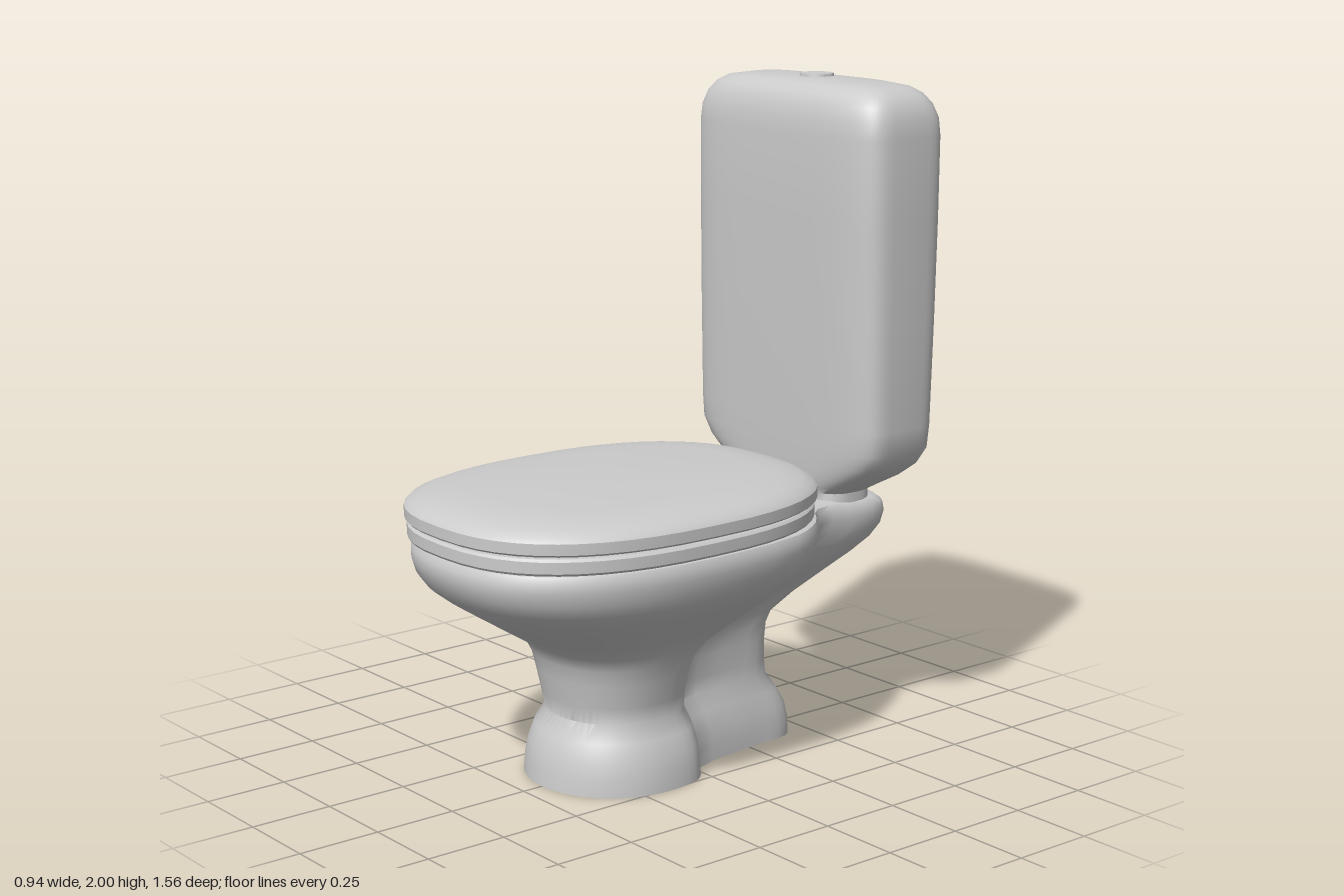
import * as THREE from 'three';
import { toCreasedNormals } from 'three/addons/utils/BufferGeometryUtils.js';

const lerp = THREE.MathUtils.lerp;
const spow = (v, n) => Math.sign(v) * Math.abs(v) ** (2 / n);

// Skin a stack of closed rings (bottom to top) and cap both ends
function loft(rings, crease = 0.75) {
  const n = rings[0].length;
  const pos = [], index = [];
  rings.forEach((r) => r.forEach((p) => pos.push(p.x, p.y, p.z)));
  for (let j = 0; j < rings.length - 1; j++) {
    for (let i = 0; i < n; i++) {
      const a = j * n + i, b = j * n + (i + 1) % n;
      index.push(a, b, b + n, a, b + n, a + n);
    }
  }
  [0, rings.length - 1].forEach((j) => {
    const c = new THREE.Vector3();
    rings[j].forEach((p) => c.addScaledVector(p, 1 / n));
    const ci = pos.length / 3;
    pos.push(c.x, c.y, c.z);
    for (let i = 0; i < n; i++) {
      const a = j * n + i, b = j * n + (i + 1) % n;
      if (j === 0) index.push(ci, b, a); else index.push(ci, a, b);
    }
  });
  const g = new THREE.BufferGeometry();
  g.setAttribute('position', new THREE.Float32BufferAttribute(pos, 3));
  g.setIndex(index);
  return toCreasedNormals(g, crease);
}

// Horizontal superellipse ring between zFront and zBack
function ovalRing(y, w, zFront, zBack, n, count = 48) {
  const zc = (zFront + zBack) / 2, d = (zFront - zBack) / 2;
  return Array.from({ length: count }, (_, i) => {
    const t = (i / count) * Math.PI * 2;
    return new THREE.Vector3(w * spow(Math.sin(t), n), y, zc + d * spow(Math.cos(t), n));
  });
}

// Keyhole ring: round front lobe, pinched neck, narrower rear lobe
function keyholeRing([y, w, zf, zc, wn, zn, wr, zr], n) {
  const half = [];
  for (let i = 0; i <= 5; i++) {
    const t = (i / 5) * Math.PI / 2;
    half.push([w * spow(Math.sin(t), n), zc + (zf - zc) * spow(Math.cos(t), n)]);
  }
  half.push(
    [lerp(wn, w, 0.85), lerp(zn, zc, 0.42)],
    [lerp(wn, w, 0.5), lerp(zn, zc, 0.18)],
    [wn, zn],
    [wr, lerp(zr, zn, 0.4)],
    [wr * 0.92, lerp(zr, zn, 0.1)],
    [wr * 0.55, zr],
    [0, zr],
  );
  const mirrored = half.slice(1, -1).reverse().map(([x, z]) => [-x, z]);
  const pts = [...half, ...mirrored].map(([x, z]) => new THREE.Vector3(x, y, z));
  const curve = new THREE.CatmullRomCurve3(pts, true, 'centripetal');
  const count = pts.length * 3;
  return Array.from({ length: count }, (_, i) => curve.getPoint(i / count));
}

export function createModel() {
  const model = new THREE.Group();
  model.name = 'toilet';
  const material = new THREE.MeshStandardMaterial({ color: 0xcccccc });
  const add = (name, geometry) => {
    const mesh = new THREE.Mesh(geometry, material);
    mesh.name = name;
    model.add(mesh);
    return mesh;
  };

  // Pedestal, bowl and rear shelf in one skin:
  // y, front half width, front z, widest z, neck half width, neck z, rear half width, rear z
  const bowlRows = [
    [0.00, 0.262, 0.435, 0.17, 0.170, -0.02, 0.125, -0.45],
    [0.05, 0.258, 0.430, 0.17, 0.165, -0.02, 0.125, -0.447],
    [0.10, 0.247, 0.420, 0.17, 0.155, -0.02, 0.120, -0.435],
    [0.15, 0.228, 0.400, 0.17, 0.140, -0.01, 0.110, -0.408],
    [0.20, 0.200, 0.368, 0.17, 0.110, 0.00, 0.100, -0.370],
    [0.25, 0.208, 0.377, 0.17, 0.115, 0.00, 0.100, -0.364],
    [0.32, 0.222, 0.391, 0.17, 0.120, -0.01, 0.105, -0.361],
    [0.37, 0.233, 0.402, 0.17, 0.130, -0.03, 0.110, -0.362],
    [0.41, 0.250, 0.422, 0.17, 0.150, -0.07, 0.120, -0.375],
    [0.46, 0.295, 0.500, 0.17, 0.180, -0.15, 0.140, -0.445],
    [0.52, 0.355, 0.595, 0.17, 0.210, -0.25, 0.175, -0.545],
    [0.57, 0.405, 0.672, 0.17, 0.225, -0.33, 0.205, -0.630],
    [0.61, 0.436, 0.724, 0.17, 0.235, -0.38, 0.225, -0.688],
    [0.65, 0.452, 0.755, 0.17, 0.242, -0.41, 0.240, -0.718],
    [0.69, 0.459, 0.768, 0.17, 0.245, -0.42, 0.247, -0.727],
    [0.72, 0.459, 0.768, 0.17, 0.243, -0.42, 0.243, -0.722],
    [0.738, 0.450, 0.758, 0.17, 0.233, -0.42, 0.228, -0.700],
    [0.744, 0.430, 0.735, 0.17, 0.215, -0.41, 0.205, -0.670],
  ];
  add('bowlAndPedestal', loft(bowlRows.map((row, i) =>
    keyholeRing(row, lerp(2.05, 2.4, Math.min(1, i / 12))))));

  // Seat and lid: rows of height and inset from the full oval
  const ovalStack = (rows) => loft(rows.map(([y, inset]) =>
    ovalRing(y, 0.47 - inset, 0.78 - inset, -0.445 + inset, 2.5)), 0.6);
  add('seat', ovalStack([[0.745, 0.012], [0.752, 0.007], [0.785, 0.007], [0.792, 0.014]]));
  add('seatBumpers', ovalStack([[0.735, 0.035], [0.81, 0.035]]));
  add('lid', ovalStack([
    [0.800, 0.006], [0.806, 0], [0.838, 0], [0.852, 0.012],
    [0.866, 0.045], [0.878, 0.1], [0.886, 0.18],
  ]));

  // Cistern: y, half width, front z, back z, squareness
  const tankRows = [
    [0.730, 0.23, -0.455, -0.690, 3],
    [0.765, 0.23, -0.460, -0.685, 3],
    [0.785, 0.26, -0.459, -0.705, 3.5],
    [0.820, 0.32, -0.457, -0.735, 4],
    [0.860, 0.37, -0.455, -0.752, 4.5],
    [0.910, 0.400, -0.453, -0.760, 5],
    [0.980, 0.406, -0.451, -0.764, 5],
    [1.300, 0.408, -0.444, -0.774, 5],
    [1.600, 0.409, -0.439, -0.781, 5],
    [1.840, 0.409, -0.437, -0.783, 5],
    [1.890, 0.404, -0.441, -0.779, 5],
    [1.930, 0.391, -0.451, -0.768, 4.6],
    [1.960, 0.368, -0.468, -0.750, 4.2],
    [1.978, 0.335, -0.493, -0.725, 4],
    [1.988, 0.270, -0.525, -0.690, 3.5],
    [1.992, 0.150, -0.565, -0.645, 3],
  ];
  add('cistern', loft(tankRows.map((r) => ovalRing(...r, 64))));

  // Flush button
  const button = add('flushButton', toCreasedNormals(
    new THREE.CylinderGeometry(0.05, 0.055, 0.03, 32), 0.6));
  button.position.set(0, 1.985, -0.605);

  return model;
}
